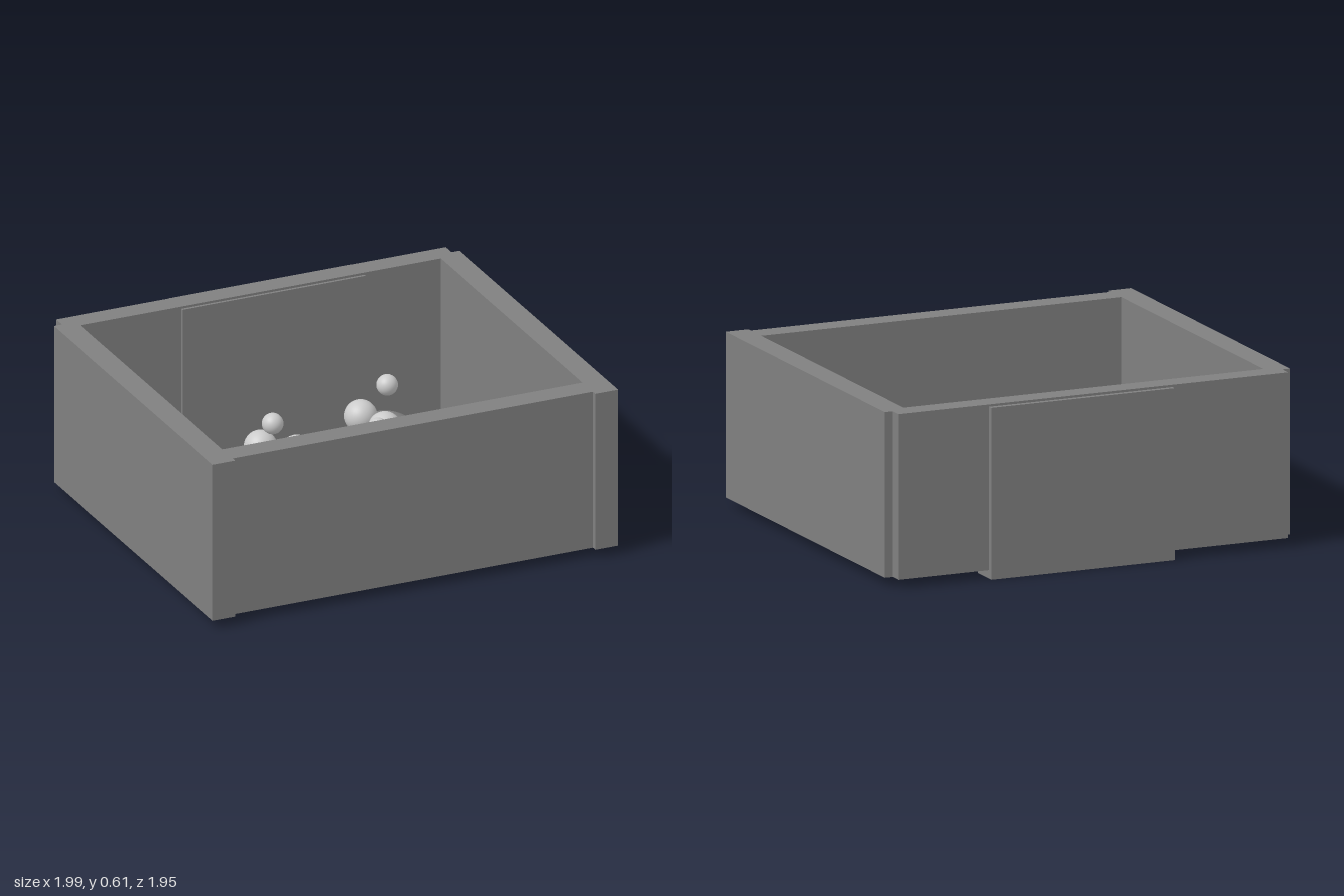
import * as THREE from 'three';

const dark = new THREE.MeshStandardMaterial({ color: 0x808080 });
const light = new THREE.MeshStandardMaterial({ color: 0xcccccc });

// Box given by its limits on each axis
function slab(name, [x0, x1], [y0, y1], [z0, z1]) {
  const mesh = new THREE.Mesh(new THREE.BoxGeometry(x1 - x0, y1 - y0, z1 - z0), dark);
  mesh.position.set((x0 + x1) / 2, (y0 + y1) / 2, (z0 + z1) / 2);
  mesh.name = name;
  return mesh;
}

function ball(name, r, x, y, z, material, squash = 1) {
  const mesh = new THREE.Mesh(new THREE.SphereGeometry(r, 32, 20), material);
  mesh.scale.y = squash;
  mesh.position.set(x, y, z);
  mesh.name = name;
  return mesh;
}

// Little figure built of balls, facing +z before it is turned
function figure(x, z, turn) {
  const g = new THREE.Group();
  g.name = 'figure';
  g.add(ball('belly', 0.077, 0, 0.12, 0, dark));
  g.add(ball('body', 0.112, 0, 0.19, 0, dark, 0.65));
  g.add(ball('topBall', 0.037, 0, 0.37, -0.01, light));
  for (const s of [-1, 1]) {
    g.add(ball('sideBall', 0.057, s * 0.065, 0.25, 0.053, light));
    g.add(ball('foot', 0.023, s * 0.036, 0.045, 0, dark));
  }
  g.position.set(x, 0, z);
  g.rotation.y = turn;
  return g;
}

export function createModel() {
  const model = new THREE.Group();
  model.name = 'pen';

  // Open enclosure, turned as a whole
  const walls = new THREE.Group();
  walls.name = 'walls';
  walls.rotation.y = THREE.MathUtils.degToRad(35);
  const height = [0.03, 0.61];
  walls.add(slab('leftWall', [0.675, 0.76], height, [-0.638, 0.655]));
  walls.add(slab('rightWall', [-0.76, -0.675], height, [-0.638, 0.655]));
  walls.add(slab('frontWall', [-0.675, 0.675], height, [0.55, 0.635]));
  walls.add(slab('backWall', [-0.73, 0.73], height, [-0.685, -0.605]));
  // Thicker door panel reaching the ground
  walls.add(slab('door', [-0.298, 0.39], [0, 0.602], [-0.703, -0.595]));
  model.add(walls);

  // Three figures facing different ways
  for (const [x, z, turn] of [[0.113, -0.329, -0.71], [0.148, 0.024, -2.42], [-0.204, 0.045, 2.99]]) {
    model.add(figure(x, z, turn));
  }
  return model;
}
